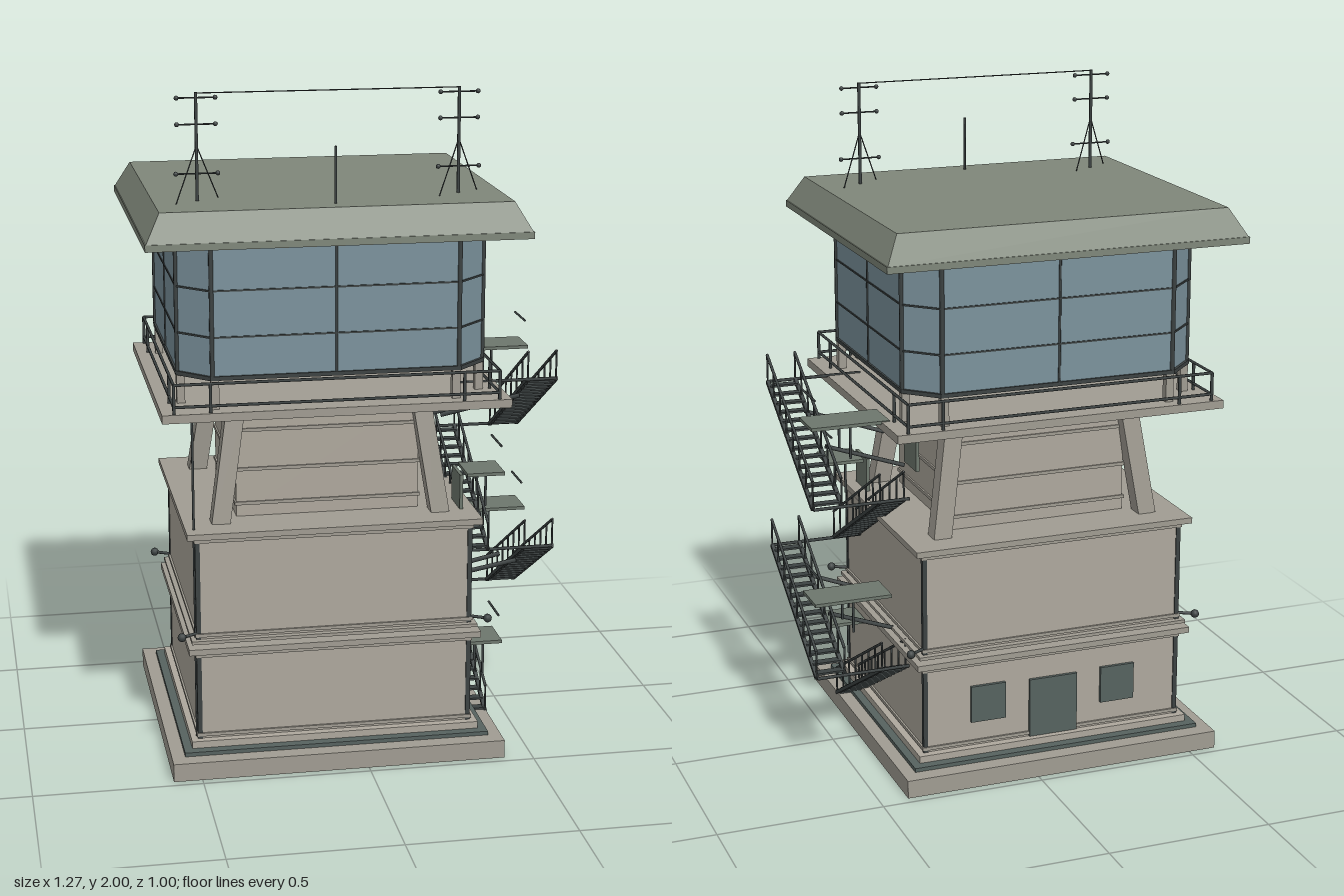
import * as THREE from 'three';

const mat = (color) => new THREE.MeshStandardMaterial({ color });
const concrete = mat(0xaea89d), slab = mat(0xa09c92), roofMat = mat(0x7f877a);
const glass = mat(0x7b929c), metal = mat(0x3c4242), panel = mat(0x56625f), plate = mat(0x6d776d);
const CX = -0.085; // tower axis

export function createModel() {
  const root = new THREE.Group();
  root.name = 'watchTower';

  const group = (name, parent = root) => {
    const g = new THREE.Group();
    g.name = name;
    parent.add(g);
    return g;
  };
  const add = (parent, name, geo, m) => {
    const mesh = new THREE.Mesh(geo, m);
    mesh.name = name;
    parent.add(mesh);
    return mesh;
  };
  const box = (parent, name, m, x0, x1, y0, y1, z0, z1) => {
    const b = add(parent, name, new THREE.BoxGeometry(x1 - x0, y1 - y0, z1 - z0), m);
    b.position.set((x0 + x1) / 2, (y0 + y1) / 2, (z0 + z1) / 2);
    return b;
  };
  // box centred on the tower axis, by half sizes
  const block = (parent, name, m, hx, y0, y1, hz) => box(parent, name, m, CX - hx, CX + hx, y0, y1, -hz, hz);
  // straight bar between two points
  const bar = (parent, name, m, a, b, r = 0.004, sides = 6) => {
    const p = new THREE.Vector3(...a), q = new THREE.Vector3(...b), d = q.clone().sub(p);
    const geo = new THREE.CylinderGeometry(r, r, d.length(), sides);
    if (sides === 4) geo.rotateY(Math.PI / 4);
    const c = add(parent, name, sides === 4 ? geo.toNonIndexed() : geo, m);
    if (sides === 4) c.geometry.computeVertexNormals();
    c.position.copy(p).add(q).multiplyScalar(0.5);
    c.quaternion.setFromUnitVectors(new THREE.Vector3(0, 1, 0), d.normalize());
  };
  const corners = (fn) => [-1, 1].forEach((sx) => [-1, 1].forEach((sz) => fn(sx, sz)));

  // base and plinth
  const base = group('base');
  block(base, 'baseSlab', slab, 0.5, 0, 0.055, 0.475);
  block(base, 'plinthStep', panel, 0.46, 0.055, 0.067, 0.425);
  block(base, 'plinth', concrete, 0.435, 0.067, 0.088, 0.395);

  // two storeys with cornices, corner strips and panel edging
  const storey = (name, y0, y1) => {
    const g = group(name);
    block(g, 'walls', concrete, 0.412, y0, y1, 0.37);
    block(g, 'cornice', slab, 0.44, y1, y1 + 0.018, 0.4);
    corners((sx, sz) => {
      const x = CX + sx * 0.408, z = sz * 0.366;
      box(g, 'cornerStrip', metal, x - 0.007, x + 0.007, y0, y1, z - 0.007, z + 0.007);
    });
    for (const y of [y0 + 0.012, y1 - 0.012]) block(g, 'trim', slab, 0.418, y - 0.005, y + 0.005, 0.376);
  };
  storey('lowerStorey', 0.088, 0.362);
  block(root, 'storeyJoint', concrete, 0.39, 0.38, 0.392, 0.35);
  block(root, 'storeyLedge', slab, 0.43, 0.392, 0.402, 0.39);
  storey('upperStorey', 0.402, 0.717);

  // rear door and windows
  const rear = group('rearOpenings');
  box(rear, 'door', panel, CX - 0.077, CX + 0.077, 0.09, 0.275, -0.38, -0.365);
  for (const s of [-1, 1]) {
    const x = CX + s * 0.21;
    box(rear, 'window', panel, x - 0.055, x + 0.055, 0.165, 0.28, -0.38, -0.365);
  }

  // corner floodlights and drain pipe
  corners((sx, sz) => {
    const x = CX + sx * 0.46, z = sz * 0.395;
    bar(root, 'lampArm', metal, [CX + sx * 0.4, 0.42, sz * 0.36], [x, 0.42, z], 0.005);
    const lamp = add(root, 'floodlight', new THREE.SphereGeometry(0.013, 10, 8), metal);
    lamp.position.set(x, 0.42, z);
  });
  bar(root, 'drainPipe', metal, [-0.5, 0.08, 0.35], [-0.5, 1.085, 0.35], 0.004);

  // narrow core, splayed legs and deck
  const mid = group('core');
  block(mid, 'coreWalls', concrete, 0.275, 0.735, 1.087, 0.245);
  for (const y of [0.775, 0.88, 1.0]) block(mid, 'coreBand', slab, 0.28, y - 0.005, y + 0.005, 0.25);
  corners((sx, sz) => {
    bar(mid, 'leg', slab, [CX + sx * 0.33, 0.73, sz * 0.287], [CX + sx * 0.275, 1.092, sz * 0.25], 0.039, 4);
    bar(mid, 'deckBrace', metal, [CX + sx * 0.275, 1.0, sz * 0.15], [CX + sx * 0.41, 1.087, sz * 0.15], 0.008);
  });
  block(root, 'deck', slab, 0.51, 1.085, 1.11, 0.445);

  // deck railing
  const rail = group('deckRailing');
  for (const y of [1.13, 1.195]) for (const s of [-1, 1]) {
    bar(rail, 'rail', metal, [CX - 0.475, y, s * 0.435], [CX + 0.475, y, s * 0.435], 0.0045);
    bar(rail, 'rail', metal, [CX + s * 0.475, y, -0.435], [CX + s * 0.475, y, 0.435], 0.0045);
  }
  corners((sx, sz) => {
    for (const [x, z] of [[0.475, 0.435], [0.37, 0.435], [0.475, 0.31]])
      bar(rail, 'railPost', metal, [CX + sx * x, 1.105, sz * z], [CX + sx * x, 1.195, sz * z], 0.005);
  });

  // glazed cabin with chamfered corners
  const cabin = group('cabin');
  const ring = (o) => {
    const a = 0.45 + o, b = 0.4 + o, c = 0.09;
    return [[a, -b + c], [a, b - c], [a - c, b], [-a + c, b], [-a, b - c], [-a, -b + c], [-a + c, -b], [a - c, -b]];
  };
  const octagon = (name, m, y0, y1, o) => {
    const s = new THREE.Shape(ring(o).map(([x, z]) => new THREE.Vector2(x, -z)).reverse());
    const geo = new THREE.ExtrudeGeometry(s, { depth: y1 - y0, bevelEnabled: false }).rotateX(-Math.PI / 2);
    add(cabin, name, geo, m).position.set(CX, y0, 0);
  };
  octagon('glazing', glass, 1.2, 1.6, 0);
  octagon('sill', metal, 1.195, 1.207, 0.006);
  octagon('headRail', metal, 1.58, 1.592, 0.006);
  for (const y of [1.32, 1.455]) octagon('transom', metal, y - 0.0025, y + 0.0025, 0.003);
  for (const [x, z] of ring(0)) {
    bar(cabin, 'mullion', metal, [CX + x, 1.2, z], [CX + x, 1.59, z], 0.007);
    const px = CX + x * 0.98, pz = z * 0.98;
    box(cabin, 'cabinPost', slab, px - 0.012, px + 0.012, 1.11, 1.2, pz - 0.012, pz + 0.012);
  }
  for (const s of [-1, 1]) {
    bar(cabin, 'mullion', metal, [CX, 1.2, s * 0.4], [CX, 1.59, s * 0.4], 0.004);
    bar(cabin, 'mullion', metal, [CX + s * 0.45, 1.2, 0], [CX + s * 0.45, 1.59, 0], 0.004);
  }

  // roof: rim and tapered cap
  const roof = group('roof');
  block(roof, 'roofRim', roofMat, 0.553, 1.592, 1.612, 0.498);
  const cap = new THREE.BoxGeometry(1.1, 0.08, 0.99).toNonIndexed();
  const p = cap.attributes.position;
  for (let i = 0; i < p.count; i++) if (p.getY(i) > 0) p.setXYZ(i, p.getX(i) * 0.921, 0.04, p.getZ(i) * 0.9);
  cap.computeVertexNormals();
  add(roof, 'roofCap', cap, roofMat).position.set(CX, 1.652, 0);

  // masts, wire and whip aerial
  const aerials = group('aerials');
  for (const s of [-1, 1]) {
    const x = CX + s * 0.38, z = 0.275;
    bar(aerials, 'mast', metal, [x, 1.69, z], [x, 2, z], 0.005);
    for (const [y, h] of [[1.985, 0.055], [1.91, 0.055], [1.77, 0.06]]) {
      bar(aerials, 'crossArm', metal, [x - h, y, z], [x + h, y, z], 0.0025);
      for (const e of [-1, 1])
        add(aerials, 'insulator', new THREE.SphereGeometry(0.007, 8, 6), metal).position.set(x + e * h, y, z);
    }
    for (const e of [-1, 1])
      bar(aerials, 'guy', metal, [x, 1.85, z], [x + e * 0.066, 1.69, z - e * 0.045], 0.0018);
  }
  bar(aerials, 'wire', metal, [CX - 0.38, 1.998, 0.275], [CX + 0.38, 1.998, 0.275], 0.0018);
  bar(aerials, 'whip', metal, [CX, 1.66, 0.385], [CX, 1.855, 0.385], 0.004);

  // zigzag stairs: flights alternate between inner and outer lane
  const stairs = group('stairs');
  const STEPS = 14;
  for (let f = 0; f < 4; f++) {
    const g = group('flight', stairs);
    const outer = f % 2 === 1;
    const [x0, x1] = outer ? [0.528, 0.615] : [0.338, 0.412];
    const y0 = 0.05 + f * 0.265, y1 = y0 + 0.265;
    const z0 = outer ? -0.23 : 0.235, z1 = -z0;
    for (const x of [x0, x1]) {
      bar(g, 'stringer', metal, [x, y0, z0], [x, y1, z1], 0.008, 4);
      bar(g, 'handrail', metal, [x, y0 + 0.085, z0], [x, y1 + 0.085, z1], 0.0045);
      for (let i = 0; i <= 7; i++) {
        const y = y0 + (y1 - y0) * i / 7, z = z0 + (z1 - z0) * i / 7;
        bar(g, 'baluster', metal, [x, y, z], [x, y + 0.085, z], 0.003);
      }
    }
    for (let i = 0; i < STEPS; i++) {
      const t = (i + 0.5) / STEPS, y = y0 + (y1 - y0) * t, z = z0 + (z1 - z0) * t;
      box(g, 'tread', metal, x0, x1, y - 0.003, y + 0.003, z - 0.014, z + 0.014);
    }
    bar(g, 'turnBeam', metal, [0.32, y1, z1], [0.615, y1, z1], 0.005);
    // stays from the wall to the outer flights
    if (outer) for (const [za, zb, ya] of [[-0.13, -0.08, 0.07], [0.06, 0.13, 0.12]])
      bar(g, 'stay', metal, [0.3, y0 + ya, za], [0.53, y0 + ya + 0.07, zb], 0.007);

    // landing plate with hangers, rail and door panel
    const l = group('landing', stairs);
    const [a, b] = outer ? [0.4, 0.635] : [0.33, 0.445];
    const [c, d] = outer ? [-0.3, -0.175] : [0.175, 0.3];
    const y = 0.305 + f * 0.268;
    box(l, 'landingPlate', plate, a, b, y - 0.006, y + 0.004, c, d);
    for (const z of [c + 0.008, d - 0.008])
      bar(l, 'hanger', metal, [(a + b) / 2, y, z], [(a + b) / 2, y - 0.1, z], 0.004);
    bar(l, 'landingRail', metal, [b - 0.012, y + 0.085, c], [b - 0.012, y + 0.085, d], 0.0035);
    box(l, 'doorPanel', plate, 0.308, 0.318, y - 0.165, y, c + 0.01, d - 0.005);
  }
  return root;
}
